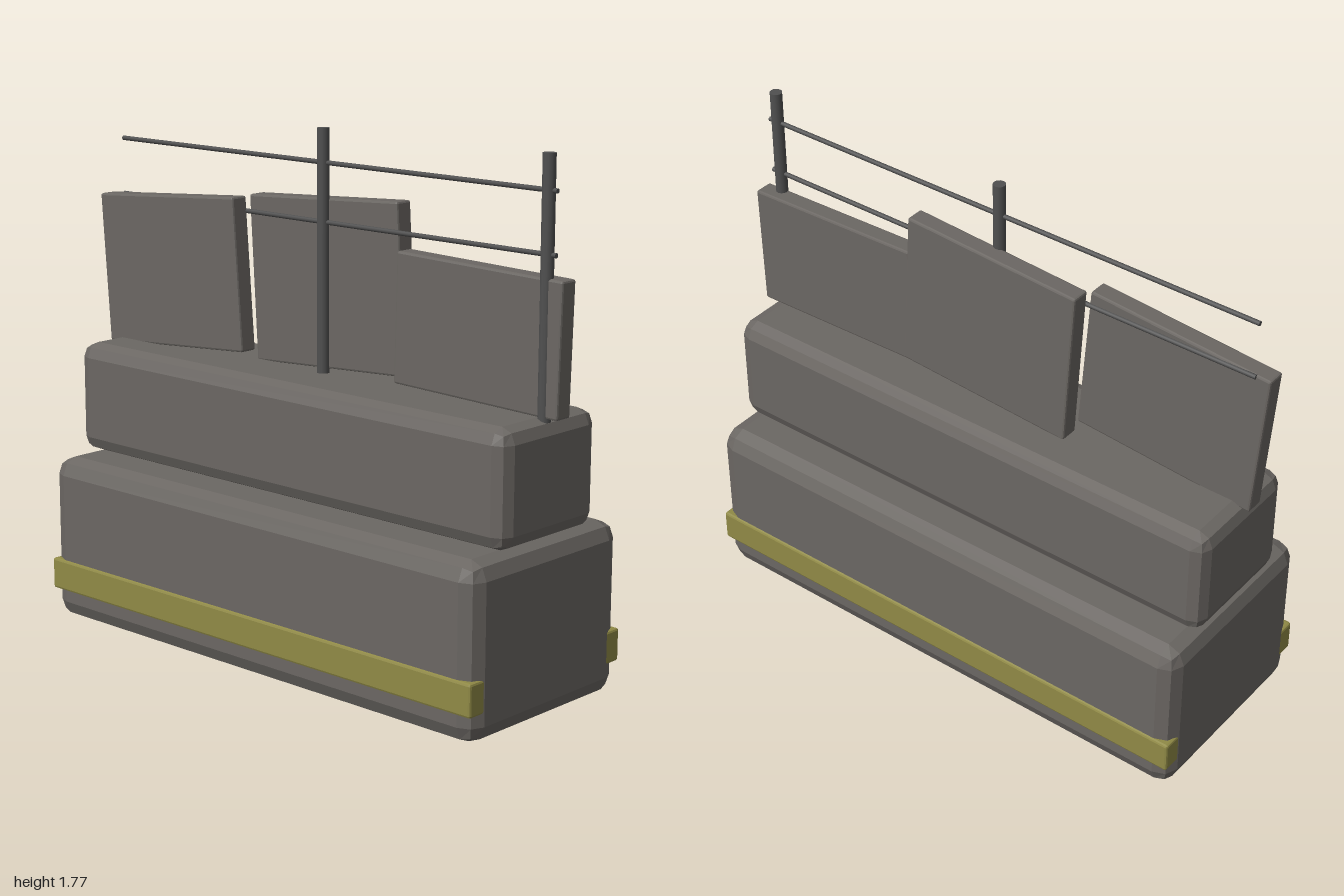
import * as THREE from 'three';

// Box with two-step bevelled edges, flat faceted
function bevelBox(w, h, d, r) {
  const g = new THREE.BoxGeometry(2, 2, 2, 3, 3, 3);
  const half = [w / 2 - r, h / 2 - r, d / 2 - r];
  const p = g.attributes.position;
  const v = new THREE.Vector3();
  for (let i = 0; i < p.count; i++) {
    const c = [p.getX(i), p.getY(i), p.getZ(i)];
    v.set(...c.map((a) => Math.trunc(a * 1.001))).normalize().multiplyScalar(r);
    p.setXYZ(i, ...c.map((a, k) => Math.sign(a) * half[k] + v.getComponent(k)));
  }
  const flat = g.toNonIndexed();
  flat.computeVertexNormals();
  return flat;
}

export function createModel() {
  const concrete = new THREE.MeshStandardMaterial({ color: 0x6b6763 });
  concrete.name = 'concrete';
  const paint = new THREE.MeshStandardMaterial({ color: 0x908a46 });
  paint.name = 'yellowPaint';
  const steel = new THREE.MeshStandardMaterial({ color: 0x505050 });
  steel.name = 'steel';

  const group = new THREE.Group();
  group.name = 'barrier';
  const add = (name, geometry, material, x, y, z, tilt = 0) => {
    const mesh = new THREE.Mesh(geometry, material);
    mesh.name = name;
    mesh.position.set(x, y, z);
    mesh.rotation.x = tilt;
    group.add(mesh);
  };
  const midZ = 0.005;
  const length = 1.914;

  // Stacked blocks
  add('lowerBlock', bevelBox(0.726, 0.577, length, 0.06), concrete, 0, 0.2885, midZ);
  add('upperBlock', bevelBox(0.46, 0.384, length, 0.05), concrete, 0, 0.772, midZ);

  // Painted band, its ends just inside the block ends
  add('warningBand', bevelBox(0.742, 0.11, length - 0.003, 0.008), paint, 0, 0.157, midZ);

  // Tilted slabs along the top: height, x, y, z, tilt
  const slabs = [
    [0.43, 0.02, 1.185, 0.662, 0.026],
    [0.563, 0.04, 1.259, 0.007, -0.06],
    [0.522, -0.034, 1.23, -0.655, -0.076],
  ];
  slabs.forEach(([h, x, y, z, tilt], i) => {
    add('slab' + (i + 1), bevelBox(0.066, h, 0.66, 0.007), concrete, x, y, z, tilt);
  });

  // Posts
  for (const z of [0.928, 0.007]) {
    add('post', new THREE.CylinderGeometry(0.021, 0.021, 0.82, 12), steel, 0, 1.36, z);
  }

  // Wire rails
  for (const y of [1.658, 1.464]) {
    add('rail', new THREE.CylinderGeometry(0.008, 0.008, length, 8), steel, 0, y, midZ, Math.PI / 2);
  }
  return group;
}
